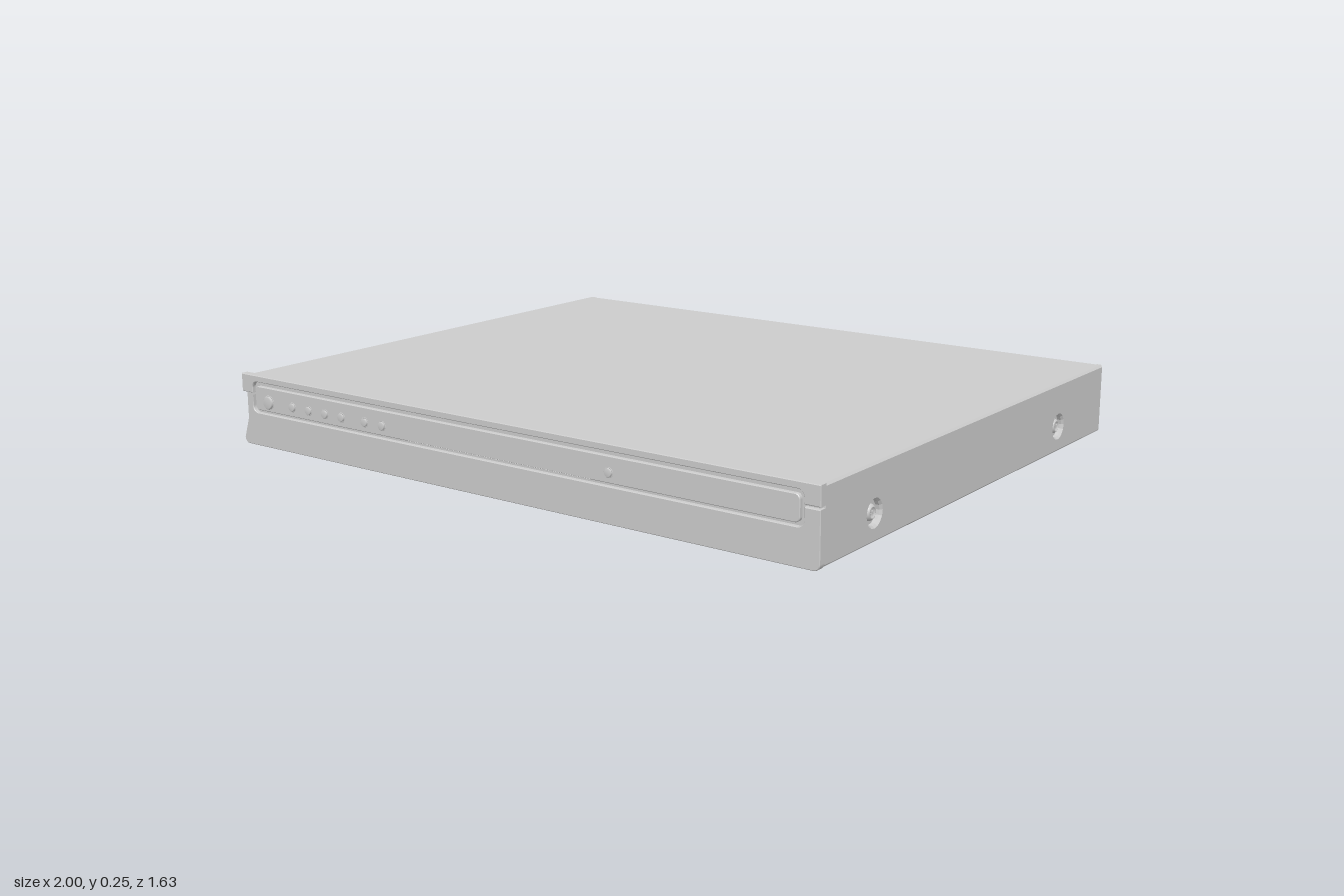
import * as THREE from 'three';

const grey = new THREE.MeshStandardMaterial({ color: 0xcccccc });

function add(parent, name, geometry, x = 0, y = 0, z = 0) {
  const mesh = new THREE.Mesh(geometry, grey);
  mesh.name = name;
  mesh.position.set(x, y, z);
  parent.add(mesh);
  return mesh;
}

// Rounded rectangle, with r for the corner radius
function roundRect(x0, y0, x1, y1, r) {
  const s = new THREE.Shape();
  s.absarc(x1 - r, y0 + r, r, -Math.PI / 2, 0);
  s.absarc(x1 - r, y1 - r, r, 0, Math.PI / 2);
  s.absarc(x0 + r, y1 - r, r, Math.PI / 2, Math.PI);
  s.absarc(x0 + r, y0 + r, r, Math.PI, Math.PI * 1.5);
  s.closePath();
  return s;
}

// Slab whose total depth is depth and whose bevel stays inside the outline
function slab(shape, depth, bevel = 0.002) {
  const g = new THREE.ExtrudeGeometry(shape, {
    depth: depth - 2 * bevel, bevelEnabled: bevel > 0, bevelThickness: bevel,
    bevelSize: bevel, bevelOffset: -bevel, bevelSegments: 1, curveSegments: 8,
  });
  return g.translate(0, 0, bevel);
}

function lathe(points, segments = 32) {
  return new THREE.LatheGeometry(points.map(([r, y]) => new THREE.Vector2(r, y)), segments);
}

const BOTTOM = 0.038, TOP = 0.243, BACK = -0.816, FRONT = 0.78;
const SCREW_Z = [0.545, -0.51], SCREW_Y = 0.114;

function makeCase(root) {
  const group = new THREE.Group();
  group.name = 'case';
  root.add(group);

  // Main shell, chamfered along the top and bottom edges
  const body = new THREE.Shape();
  const c = 0.006;
  [[-0.975, BOTTOM], [0.975, BOTTOM], [0.975, TOP], [-0.975, TOP]]
    .forEach(([x, y], i) => (i ? body.lineTo(x, y) : body.moveTo(x, y)));
  body.closePath();
  add(group, 'shell', slab(body, FRONT - BACK, c), 0, 0, BACK);

  for (const side of [-1, 1]) {
    // Side panel with two screw recesses; shape x runs along -z (left) or +z (right)
    const plate = new THREE.Shape();
    const a = side > 0 ? -FRONT : BACK, b = side > 0 ? -BACK : FRONT;
    plate.moveTo(a, BOTTOM).lineTo(b, BOTTOM).lineTo(b, TOP).lineTo(a, TOP).closePath();
    for (const z of SCREW_Z) {
      plate.holes.push(new THREE.Path().absarc(-side * z, SCREW_Y, 0.033, 0, Math.PI * 2, true));
    }
    const panel = add(group, 'sidePanel', slab(plate, 0.026, 0.006), side * 0.966, 0, 0);
    panel.rotation.y = side * Math.PI / 2;

    for (const z of SCREW_Z) {
      const screw = new THREE.Group();
      screw.name = 'sideScrew';
      screw.position.set(side * 0.974, SCREW_Y, z);
      screw.rotation.z = -side * Math.PI / 2;
      group.add(screw);
      // Dished washer and domed head
      add(screw, 'screwCup', lathe([[0.018, 0.002], [0.024, 0.004], [0.034, 0.014]]));
      add(screw, 'screwHead', lathe([[0.022, 0], [0.021, 0.007], [0.016, 0.012], [0.013, 0.013],
        [0.011, 0.008], [0, 0.008]]));
      for (const turn of [0, 1, 2]) {
        const bar = add(screw, 'screwSocket', new THREE.BoxGeometry(0.014, 0.004, 0.003), 0, 0.009, 0);
        bar.rotation.y = turn * Math.PI / 3;
      }
    }
  }
}

function makeFrontPanel(root) {
  const group = new THREE.Group();
  group.name = 'frontPanel';
  root.add(group);
  const y0 = 0.037, y1 = 0.248, seam = 0.191, gap = 0.003;
  const ix = 0.955, iy0 = 0.137, iy1 = 0.229, r = 0.02;
  const H = Math.PI / 2;

  add(group, 'neck', new THREE.BoxGeometry(1.95, 0.19, 0.02), 0, 0.14, 0.782);
  add(group, 'backing', new THREE.BoxGeometry(1.985, 0.195, 0.011), 0, 0.1425, 0.7915);

  // Lower surround, rounded at its bottom corners
  const lower = new THREE.Shape();
  lower.moveTo(-1, seam - gap);
  lower.absarc(-1 + 0.018, y0 + 0.018, 0.018, Math.PI, Math.PI * 1.5);
  lower.absarc(1 - 0.018, y0 + 0.018, 0.018, -H, 0);
  lower.lineTo(1, seam - gap);
  lower.lineTo(ix, seam - gap);
  lower.absarc(ix - r, iy0 + r, r, 0, -H, true);
  lower.absarc(-ix + r, iy0 + r, r, -H, -Math.PI, true);
  lower.lineTo(-ix, seam - gap);
  lower.closePath();
  add(group, 'lowerSurround', slab(lower, 0.024), 0, 0, 0.785);

  // Upper surround, square at its top corners
  const upper = new THREE.Shape();
  upper.moveTo(-1, y1).lineTo(-1, seam + gap).lineTo(-ix, seam + gap);
  upper.absarc(-ix + r, iy1 - r, r, Math.PI, H, true);
  upper.absarc(ix - r, iy1 - r, r, H, 0, true);
  upper.lineTo(ix, seam + gap).lineTo(1, seam + gap).lineTo(1, y1).closePath();
  add(group, 'upperSurround', slab(upper, 0.024), 0, 0, 0.785);

  // Control strip standing inside the groove, cut out for the tray
  const strip = roundRect(-ix + 0.012, iy0 + 0.009, ix - 0.012, iy1 - 0.012, 0.014);
  strip.holes.push(new THREE.Path([[-0.32, 0.149], [-0.32, 0.207], [0.316, 0.207], [0.316, 0.149]]
    .map(([x, y]) => new THREE.Vector2(x, y))));
  add(group, 'controlStrip', slab(strip, 0.024), 0, 0, 0.785);
  const tray = roundRect(-0.316, 0.152, 0.312, 0.203, 0.002);
  add(group, 'discTray', slab(tray, 0.024, 0.001), 0, 0, 0.785);
}

function makeButtons(root) {
  const y = 0.174, z = 0.808;
  const button = (name, x, r, h) => {
    const g = lathe([[r, -0.004], [r, h * 0.7], [r * 0.85, h], [0, h]], 24).rotateX(Math.PI / 2);
    add(root, name, g, x, y, z);
    add(root, name + 'Rim', new THREE.TorusGeometry(r + 0.001, 0.002, 6, 24), x, y, z);
  };
  button('powerButton', -0.885, 0.019, 0.009);
  for (const x of [-0.785, -0.717, -0.65, -0.583, -0.49, -0.422, 0.377]) {
    button('controlButton', x, 0.012, 0.007);
  }
}

export function createModel() {
  const root = new THREE.Group();
  root.name = 'discPlayer';
  makeCase(root);
  makeFrontPanel(root);
  makeButtons(root);

  // Four round feet with softened edges
  const footShape = lathe([[0, 0], [0.13, 0], [0.137, 0.004], [0.14, 0.012], [0.14, 0.022],
    [0.136, 0.027], [0.136, 0.042]], 48);
  for (const x of [-0.77, 0.77]) {
    for (const z of [0.565, -0.525]) add(root, 'foot', footShape, x, 0, z);
  }
  return root;
}
